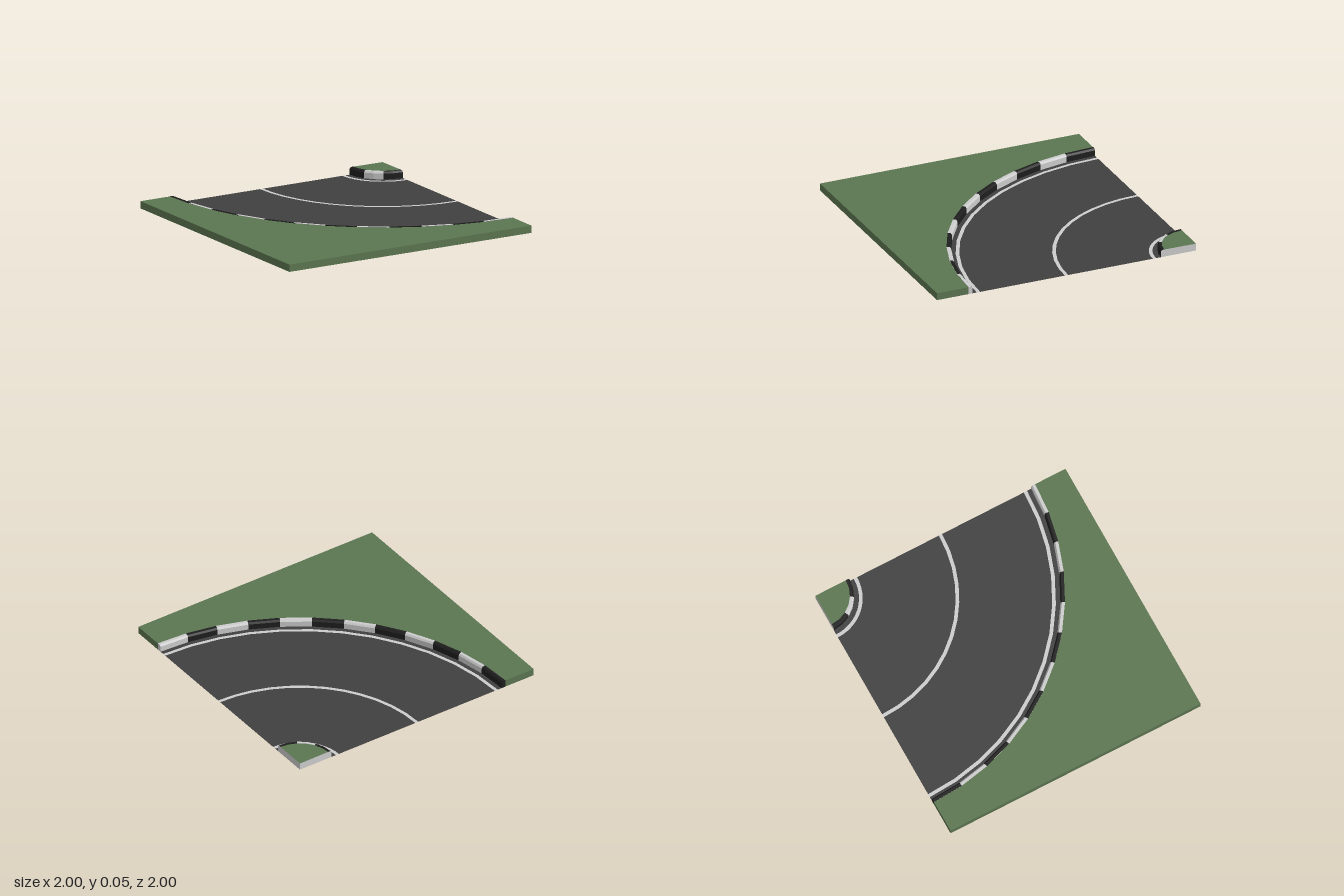
import * as THREE from 'three';

const mat = (name, color) => new THREE.MeshStandardMaterial({ name, color, side: THREE.DoubleSide });

// All curves share one centre at the corner (1, -1); angle 0 points to -x, 90 degrees to +z.
const QUARTER = Math.PI / 2;
const at = (r, a, y = 0) => [1 - r * Math.cos(a), y, -1 + r * Math.sin(a)];

// Sweeps a profile of [radius, height] points round the centre, with flat facets.
function sweep(profile, a0, a1, steps) {
  const pos = [];
  for (let s = 0; s < steps; s++) {
    const p = a0 + ((a1 - a0) * s) / steps;
    const q = a0 + ((a1 - a0) * (s + 1)) / steps;
    for (let i = 0; i + 1 < profile.length; i++) {
      const [r0, y0] = profile[i], [r1, y1] = profile[i + 1];
      const A = at(r0, p, y0), B = at(r1, p, y1), C = at(r1, q, y1), D = at(r0, q, y0);
      pos.push(...A, ...B, ...C, ...A, ...C, ...D);
    }
  }
  const g = new THREE.BufferGeometry();
  g.setAttribute('position', new THREE.Float32BufferAttribute(pos, 3));
  g.computeVertexNormals();
  return g;
}

// Flat shape from [x, z] points, lying at height y.
function flat(points, y) {
  const shape = new THREE.Shape(points.map(([x, z]) => new THREE.Vector2(x, -z)));
  return new THREE.ShapeGeometry(shape).rotateX(-QUARTER).translate(0, y, 0);
}

export function createModel() {
  const model = new THREE.Group();
  model.name = 'roadCorner';
  const grass = mat('grassGreen', 0x5b7550);
  const asphalt = mat('asphaltGrey', 0x404040);
  const white = mat('paintWhite', 0xcccccc);
  const black = mat('kerbBlack', 0x1e1e1e);

  const add = (name, geometry, material) => {
    const mesh = new THREE.Mesh(geometry, material);
    mesh.name = name;
    model.add(mesh);
    return mesh;
  };
  // Upright [radius, height] section on one of the two cut edges of the tile.
  const section = (name, points, end, material) => {
    const g = new THREE.ShapeGeometry(new THREE.Shape(points.map(([r, y]) => new THREE.Vector2(r, y))));
    if (end === 0) g.rotateY(Math.PI);
    else {
      g.scale(-1, 1, 1).rotateY(QUARTER);
      // Mirroring reverses the corners, so restore their order
      const idx = g.index.array;
      for (let i = 0; i < idx.length; i += 3) [idx[i], idx[i + 1]] = [idx[i + 1], idx[i]];
      g.computeVertexNormals();
    }
    add(name, g.translate(1, 0, -1), material);
  };

  const H = 0.053, K = 0.055;

  // Road surface with three painted lines set flush in it
  const edges = [0.27, 0.307, 0.333, 0.987, 1.013, 1.667, 1.693, 1.73];
  for (let i = 0; i + 1 < edges.length; i++) {
    const line = i % 2 === 1;
    add(line ? 'roadLine' : 'roadSurface',
      sweep([[edges[i], 0], [edges[i + 1], 0]], 0, QUARTER, 12), line ? white : asphalt);
  }

  // Chamfered kerbs in alternating blocks
  const outer = [[1.725, 0], [1.725, 0.042], [1.735, K], [1.757, K]];
  const inner = [[0.243, K], [0.262, K], [0.272, 0.042], [0.272, 0]];
  const kerb = (name, profile, blocks, facets) => {
    for (let i = 0; i < blocks; i++) {
      add(name, sweep(profile, (QUARTER * i) / blocks, (QUARTER * (i + 1)) / blocks, facets),
        i % 2 ? white : black);
    }
  };
  kerb('outerKerb', outer, 12, 1);
  kerb('innerKerb', inner, 3, 2);
  section('outerKerbEnd', [...outer, [1.757, 0]], 0, black);
  section('outerKerbEnd', [...outer, [1.757, 0]], 1, white);

  // Grass tops, following the facets of the kerbs
  const arc = (r, n) => Array.from({ length: n + 1 }, (_, i) => {
    const [x, , z] = at(r, (QUARTER * i) / n);
    return [x, z];
  });
  add('outerGrass', flat([...arc(1.757, 12), [1, 1], [-1, 1], [-1, -1]], H), grass);
  add('innerGrass', flat([...arc(0.243, 6), [1, -1]], H), grass);

  // Tile walls, open underneath
  for (const end of [0, 1]) {
    section('grassEndWall', [[1.757, 0], [2, 0], [2, H], [1.757, H]], end, grass);
    section('innerCornerWall', [[0, 0], [0, H], ...inner], end, white);
  }
  add('frontWall', new THREE.PlaneGeometry(2, H).translate(0, H / 2, 1), grass);
  add('sideWall', new THREE.PlaneGeometry(2, H).rotateY(-QUARTER).translate(-1, H / 2, 0), grass);

  return model;
}
